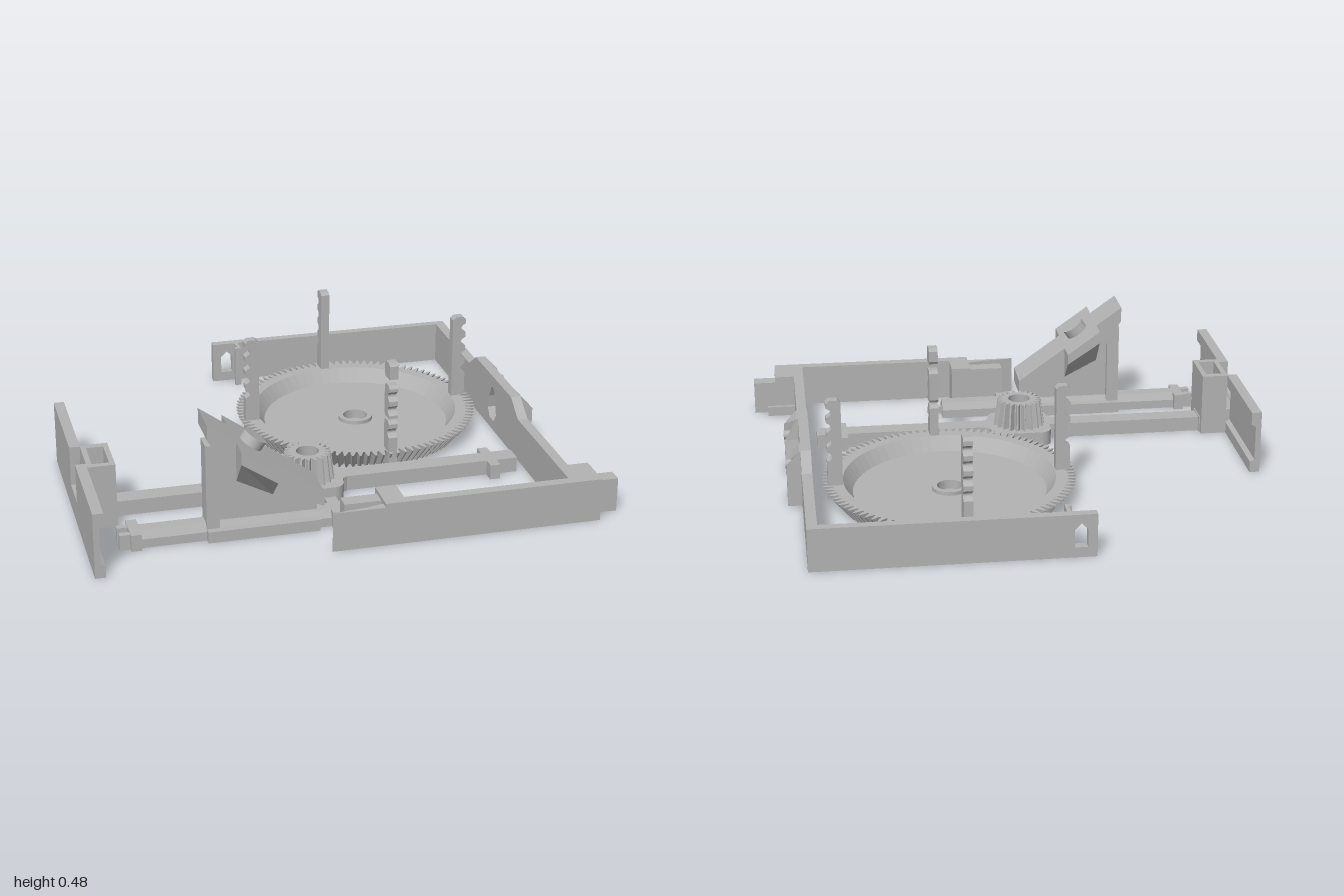
import * as THREE from 'three';

const grey = new THREE.MeshStandardMaterial({ color: 0xb3b3b3 });
grey.name = 'plain grey plastic';

export function createModel() {
  const model = new THREE.Group();
  model.name = 'gearMechanismKit';

  const add = (name, geo, parent = model) => {
    const mesh = new THREE.Mesh(geo, grey);
    mesh.name = name;
    parent.add(mesh);
    return mesh;
  };
  // Box given by its limits
  const box = (name, x0, x1, y0, y1, z0, z1, parent) =>
    add(name, new THREE.BoxGeometry(x1 - x0, y1 - y0, z1 - z0)
      .translate((x0 + x1) / 2, (y0 + y1) / 2, (z0 + z1) / 2), parent);
  const poly = (pts) => new THREE.Shape(pts.map(([a, b]) => new THREE.Vector2(a, b)));
  const hole = (shape, x, y, r) => {
    shape.holes.push(new THREE.Path().absarc(x, y, r, 0, Math.PI * 2, true));
    return shape;
  };
  const extrude = (shape, depth) =>
    new THREE.ExtrudeGeometry(shape, { depth, bevelEnabled: false, curveSegments: 16 });
  // Profile in (x, y), running along z
  const alongZ = (shape, z0, z1) => extrude(shape, z1 - z0).translate(0, 0, z0);
  // Profile in (z, y), running along x
  const alongX = (shape, x0, x1) => extrude(shape, x1 - x0).rotateY(-Math.PI / 2).translate(x1, 0, 0);
  // Plan in (x, -z), running up y
  const alongY = (shape, y0, y1) => extrude(shape, y1 - y0).rotateX(-Math.PI / 2).translate(0, y0, 0);

  // Toothed ring whose cone is set by the scale at bottom and top
  const bevelGear = (teeth, rOut, rRoot, rHole, y0, y1, scaleBottom, scaleTop) => {
    const pts = [];
    for (let i = 0; i < teeth; i++) {
      [[0, rRoot], [0.3, rOut], [0.5, rOut], [0.8, rRoot]].forEach(([f, r]) => {
        const a = ((i + f) / teeth) * Math.PI * 2;
        pts.push([r * Math.cos(a), r * Math.sin(a)]);
      });
    }
    const shape = poly(pts);
    shape.holes.push(new THREE.Path().absarc(0, 0, rHole, 0, Math.PI * 2, true));
    const geo = new THREE.ExtrudeGeometry(shape, { depth: y1 - y0, bevelEnabled: false, curveSegments: 32 })
      .rotateX(-Math.PI / 2).translate(0, y0, 0);
    const p = geo.attributes.position;
    for (let i = 0; i < p.count; i++) {
      const s = THREE.MathUtils.lerp(scaleBottom, scaleTop, (p.getY(i) - y0) / (y1 - y0));
      p.setX(i, p.getX(i) * s);
      p.setZ(i, p.getZ(i) * s);
    }
    geo.computeVertexNormals();
    return geo;
  };

  // Frame: side wall with a raised middle and an arched opening
  const side = poly([[-0.855, 0], [0.85, 0], [0.85, 0.17], [0.255, 0.17], [0.167, 0.23],
    [-0.27, 0.23], [-0.355, 0.17], [-0.855, 0.17]]);
  side.holes.push(new THREE.Path([[-0.075, 0.04], [-0.025, 0.04], [0, 0.075], [-0.01, 0.13], [-0.03, 0.17],
    [-0.05, 0.185], [-0.07, 0.17], [-0.09, 0.13], [-0.1, 0.075]].map(([a, b]) => new THREE.Vector2(a, b))));
  add('sideWall', alongX(side, 0.79, 0.83));

  // Frame: back wall with slot and hook
  const back = poly([[-0.225, 0], [0.79, 0], [0.79, 0.17], [-0.225, 0.17]]);
  back.holes.push(new THREE.Path([[-0.19, 0.04], [-0.14, 0.04], [-0.14, 0.11], [-0.165, 0.135], [-0.19, 0.11]]
    .map(([a, b]) => new THREE.Vector2(a, b))));
  add('backWall', alongZ(back, -0.855, -0.82));
  box('backHook', -0.13, -0.115, 0, 0.17, -0.82, -0.755);
  box('backHookTip', -0.14, -0.115, 0, 0.17, -0.775, -0.755);

  // Frame: front wall with tapered tongue, corner block and tabs
  box('frontWall', 0.07, 0.79, 0, 0.17, 0.81, 0.85);
  add('frontTongue', alongY(poly([[-0.13, -0.85], [0.07, -0.85], [0.07, -0.815], [0, -0.832], [-0.06, -0.838]]), 0, 0.155));
  box('frontStop', 0.07, 0.15, 0, 0.17, 0.705, 0.81);
  box('frontStopTab', -0.07, 0.07, 0.02, 0.155, 0.73, 0.79);
  box('cornerBlock', 0.83, 0.91, 0, 0.17, 0.7, 0.85);
  box('cornerTab', 0.91, 1, 0, 0.135, 0.73, 0.79);
  box('cornerLip', 0.83, 0.945, 0, 0.04, 0.685, 0.7);

  // Pair of curved clips outside the arched opening
  [[1, -0.052], [-1, -0.052]].forEach(([s, c]) => {
    const clip = poly([[c + s * 0.085, 0.0], [c + s * 0.215, 0.0], [c + s * 0.215, 0.17], [c + s * 0.215, 0.225],
      [c + s * 0.12, 0.225], [c + s * 0.115, 0.14], [c + s * 0.1, 0.06]]);
    const geo = alongX(clip, 0.83, 0.885);
    // Slope the upper outer edge back to the wall
    const p = geo.attributes.position;
    for (let i = 0; i < p.count; i++) {
      if (p.getY(i) > 0.2 && p.getX(i) > 0.86) p.setX(i, 0.835);
    }
    geo.computeVertexNormals();
    add('sideClip', geo);
    add('clipPin', new THREE.CylinderGeometry(0.018, 0.018, 0.06, 16).rotateZ(Math.PI / 2)
      .translate(0.858, 0.15, c + s * 0.148));
  });

  // Left rail: channel section, cut down where the hollow socket sits
  const rail = (z0, z1) => add('railChannel', alongZ(poly([[-1, 0], [-0.96, 0], [-0.96, 0.045], [-0.978, 0.055],
    [-0.978, 0.195], [-0.96, 0.205], [-0.96, 0.255], [-1, 0.255]]), z0, z1));
  rail(-0.17, 0.265);
  rail(0.42, 0.84);
  box('railNotch', -1, -0.95, 0, 0.1, 0.265, 0.42);
  const socket = poly([[-0.96, -0.455], [-0.855, -0.455], [-0.855, -0.255], [-0.96, -0.255]]);
  socket.holes.push(new THREE.Path([[-0.94, -0.43], [-0.875, -0.43], [-0.875, -0.285], [-0.94, -0.285]]
    .map(([a, b]) => new THREE.Vector2(a, b))));
  add('railSocket', alongY(socket, 0, 0.255));

  // Carrier bar with a rounded plate under the pinion
  const plate = new THREE.Shape();
  const [px, pz, h, r] = [-0.093, -0.33, 0.123, 0.045];
  plate.absarc(px + h - r, pz + h - r, r, 0, Math.PI / 2);
  plate.absarc(px - h + r, pz + h - r, r, Math.PI / 2, Math.PI);
  plate.absarc(px - h + r, pz - h + r, r, Math.PI, Math.PI * 1.5);
  plate.absarc(px + h - r, pz - h + r, r, Math.PI * 1.5, Math.PI * 2);
  add('pinionPlate', alongY(hole(plate, px, pz, 0.05), 0, 0.06));
  box('carrierBarLeft', -0.86, -0.2, 0, 0.06, 0.293, 0.37);
  box('carrierBarRight', 0.015, 0.75, 0, 0.06, 0.293, 0.37);
  box('carrierBarStop', 0.625, 0.665, 0, 0.06, 0.25, 0.415);
  box('carrierBarShoulder', -0.87, -0.85, 0, 0.065, 0.28, 0.385);
  [1, -1].forEach((s) => add('plateFillet', alongY(poly([[0.02, -0.33 + s * 0.03], [0.06, -0.33 + s * 0.037],
    [0.037, -0.33 + s * 0.05], [0.028, -0.33 + s * 0.08], [0.02, -0.33 + s * 0.08]]), 0, 0.06)));

  // Pinion
  add('pinionGear', bevelGear(20, 0.105, 0.08, 0.052, 0.06, 0.168, 1, 0.86)).position.set(px, 0, 0.33);

  // Large ring gear with dished floor
  const wheel = new THREE.Group();
  wheel.name = 'largeGear';
  wheel.position.set(0.255, 0, -0.235);
  model.add(wheel);
  add('toothedRim', bevelGear(100, 0.495, 0.457, 0.415, 0, 0.08, 0.87, 1), wheel);
  const disc = (ro, ri) => hole(new THREE.Shape().absarc(0, 0, ro, 0, Math.PI * 2), 0, 0, ri);
  add('gearFloor', alongY(disc(0.385, 0.05), 0.003, 0.025), wheel);
  add('gearHub', alongY(disc(0.07, 0.05), 0.003, 0.04), wheel);

  // Notched posts standing on the rim; the front one is in separate pieces
  const postPiece = (y0, y1, notches) => {
    const shape = new THREE.Shape();
    shape.moveTo(0.425, y0);
    shape.lineTo(0.475, y0);
    notches.forEach((y) => {
      shape.lineTo(0.475, y - 0.02);
      shape.quadraticCurveTo(0.435, y, 0.475, y + 0.02);
    });
    shape.lineTo(0.475, y1 - 0.012);
    shape.lineTo(0.463, y1);
    shape.lineTo(0.43, y1);
    shape.lineTo(0.418, y1 - 0.012);
    shape.lineTo(0.418, y0 + 0.012);
    return alongZ(shape, -0.018, 0.018);
  };
  for (let k = 0; k < 4; k++) {
    const post = new THREE.Group();
    post.name = 'notchedPost';
    post.rotation.y = k * Math.PI / 2 + 0.048;
    wheel.add(post);
    const pieces = k === 3
      ? [[0.02, 0.21, [0.16]], [0.222, 0.36, [0.255, 0.315]], [0.388, 0.455, []]]
      : [[0.02, 0.43, [0.2, 0.26, 0.32, 0.38]]];
    pieces.forEach(([a, b, n]) => add('postPiece', postPiece(a, b, n), post));
  }

  // Slider rod with collars and end pin
  const rodSection = poly([[0.565, 0], [0.65, 0], [0.65, 0.035], [0.632, 0.065], [0.583, 0.065], [0.565, 0.035]]);
  add('sliderRod', alongX(rodSection, -0.83, 0.205));
  box('rodForkFront', -0.88, -0.83, 0, 0.06, 0.625, 0.65);
  box('rodForkBack', -0.88, -0.83, 0, 0.06, 0.565, 0.59);
  box('rodCollar', -0.84, -0.8, 0, 0.065, 0.54, 0.67);
  box('rodCollar', -0.08, -0.035, 0, 0.065, 0.54, 0.67);
  box('rodPin', 0.205, 0.265, 0.01, 0.04, 0.597, 0.613);

  // Ramp on its upright and web
  add('ramp', alongZ(poly([[-0.555, 0.48], [-0.555, 0.42], [-0.45, 0.25], [-0.31, 0.18], [-0.12, 0.11], [-0.12, 0.17]]), 0.525, 0.69));
  add('rampWeb', alongZ(poly([[-0.53, 0.04], [-0.13, 0.04], [-0.13, 0.14], [-0.45, 0.29], [-0.53, 0.4]]), 0.592, 0.622));
  box('rampUpright', -0.555, -0.505, 0.03, 0.38, 0.567, 0.648);
  box('rampFoot', -0.555, -0.13, 0, 0.045, 0.54, 0.675);

  // Side wings that follow the ramp and thin towards their tips
  [[0.69, 0.78], [0.525, 0.44]].forEach(([root, tip]) => {
    const geo = alongZ(poly([[-0.45, 0.25], [-0.315, 0.18], [-0.315, 0.309], [-0.45, 0.405]]),
      Math.min(root, tip), Math.max(root, tip));
    const p = geo.attributes.position;
    for (let i = 0; i < p.count; i++) {
      if (Math.abs(p.getZ(i) - tip) < 0.001 && p.getY(i) < 0.27) p.setY(i, p.getX(i) < -0.4 ? 0.355 : 0.265);
    }
    geo.computeVertexNormals();
    add('rampWing', geo);
  });
  const knob = add('rampKnob', new THREE.CylinderGeometry(0.047, 0.047, 0.06, 24));
  knob.position.set(-0.375, 0.36, 0.607);
  knob.rotation.z = -0.62;

  return model;
}
